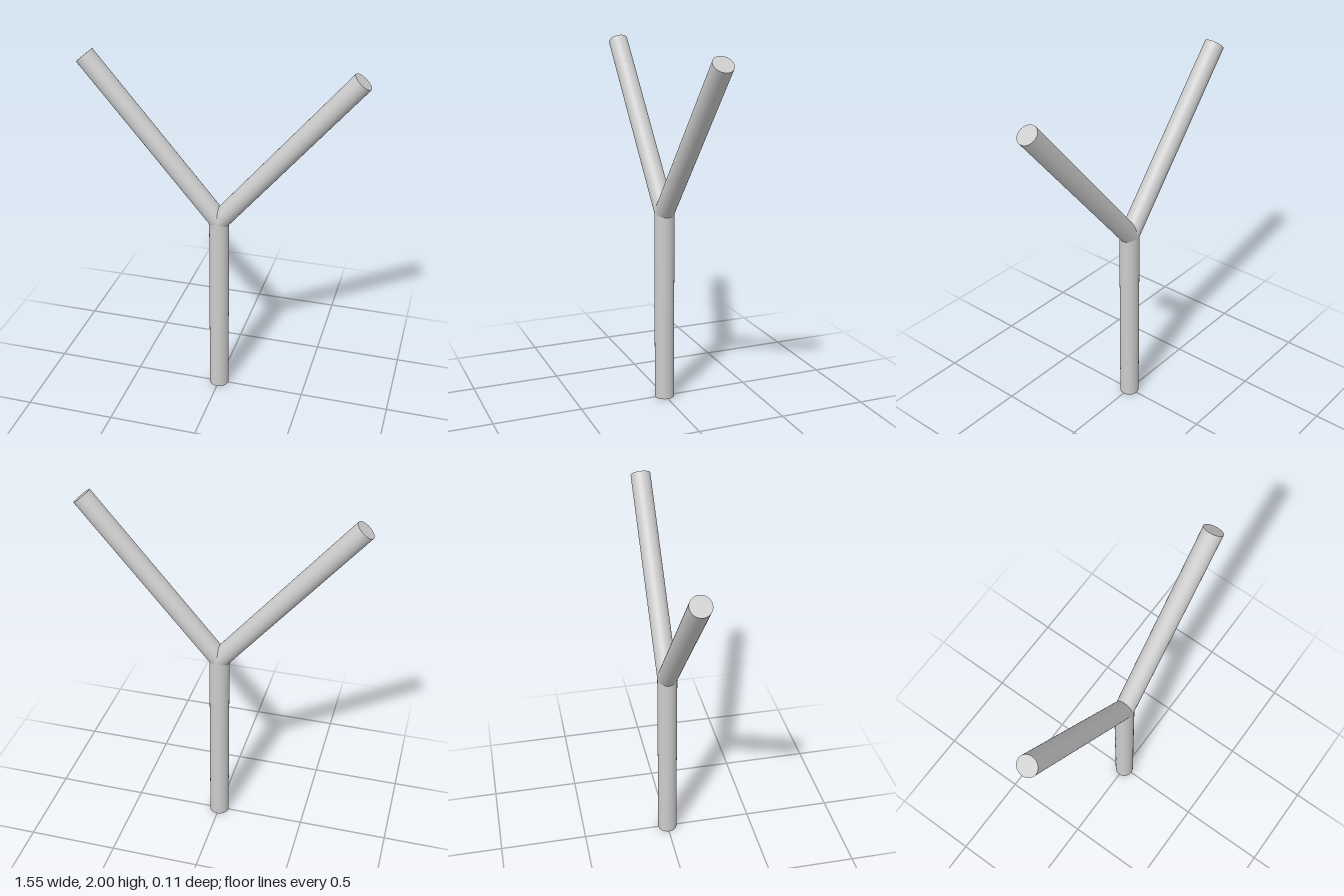
import * as THREE from 'three';

const RADIUS = 0.055;
const FORK_Y = 1.089; // height where the three axes meet
const TILT = THREE.MathUtils.degToRad(40); // arm angle from vertical
const ARM_LENGTH = 1.143;

// Round bar standing on its own origin
function bar(name, length, material) {
  const geometry = new THREE.CylinderGeometry(RADIUS, RADIUS, length, 48);
  geometry.translate(0, length / 2, 0);
  const mesh = new THREE.Mesh(geometry, material);
  mesh.name = name;
  return mesh;
}

export function createModel() {
  const group = new THREE.Group();
  group.name = 'forkedPole';
  const material = new THREE.MeshStandardMaterial({ color: 0xcccccc });

  // Upright stem
  group.add(bar('stem', FORK_Y, material));

  // Two mirrored arms
  for (const [name, side] of [['leftArm', 1], ['rightArm', -1]]) {
    const arm = bar(name, ARM_LENGTH, material);
    arm.position.y = FORK_Y;
    arm.rotation.z = -side * TILT;
    group.add(arm);
  }
  return group;
}
